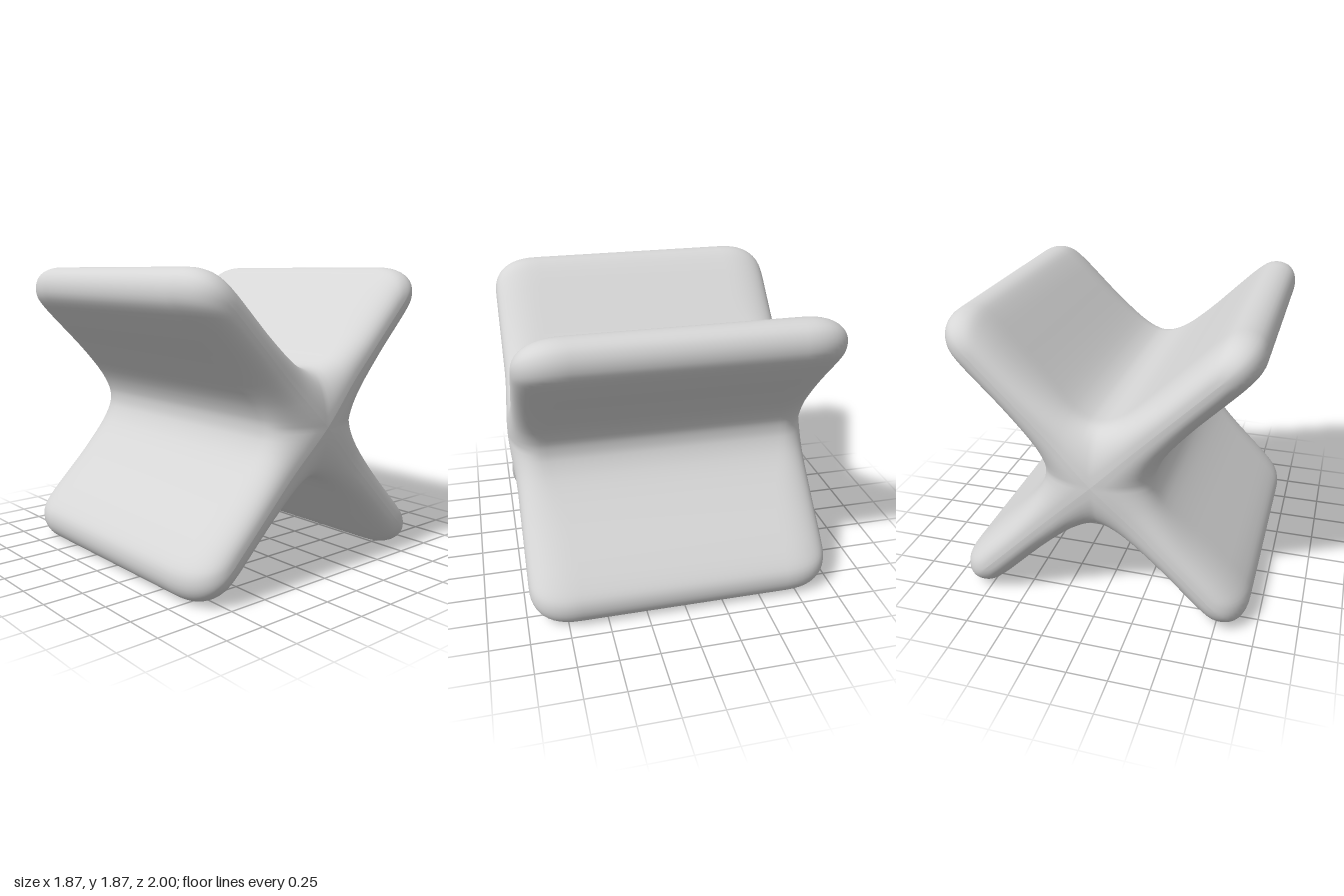
import * as THREE from 'three';

// Half outline of one arm: [distance from the hub, half thickness], from valley to tip
const ARM = [[0.24, 0.24], [0.29, 0.202], [0.4, 0.166], [0.6, 0.15], [0.9, 0.148],
  [1.1, 0.143], [1.19, 0.124], [1.25, 0.07], [1.273, 0]];
const HALF_DEPTH = 0.975, HUB_ROUND = 0.2, ARM_ROUND = 0.31, CAP_STEPS = 12;
const SQUARENESS = 2.5; // superellipse power of the rounded ends
const { lerp, smoothstep } = THREE.MathUtils;

// Closed smooth outline of four arms along the axes
function crossOutline() {
  const lower = ARM.map(([u, v]) => [u, -v]);
  const upper = ARM.slice(1, -1).reverse();
  const points = [];
  for (let i = 0; i < 4; i++) {
    const c = Math.round(Math.cos(i * Math.PI / 2)), s = Math.round(Math.sin(i * Math.PI / 2));
    for (const [u, v] of [...lower, ...upper]) points.push(new THREE.Vector3(u * c - v * s, u * s + v * c, 0));
  }
  return new THREE.CatmullRomCurve3(points, true).getPoints(points.length * 3).slice(0, -1);
}

// Pull an outline point toward the arm's spine: k = 1 is full size, k = 0 is the spine itself
function shrink(p, k) {
  const alongX = Math.abs(p.x) >= Math.abs(p.y);
  const u = Math.max(Math.abs(p.x), Math.abs(p.y)), v = Math.min(Math.abs(p.x), Math.abs(p.y));
  const root = v * (1 - smoothstep(u, 0.24, 0.6));
  const tip = 0.26 * Math.max(0, (u - 0.75) / 0.523);
  const u2 = u - (1 - k) * (root + tip), v2 = v * k;
  return {
    x: Math.sign(p.x) * (alongX ? u2 : v2),
    y: Math.sign(p.y) * (alongX ? v2 : u2),
    // The hub stands slightly proud; the arms taper over a longer depth
    bulge: 0.025 * (1 - smoothstep(Math.hypot(u2, v2), 0, 0.42)),
    round: lerp(HUB_ROUND, ARM_ROUND, smoothstep(u, 0.24, 0.8)),
  };
}

function crossGeometry() {
  const outline = crossOutline(), n = outline.length;
  // Rounded back end, straight middle, rounded front end
  const rings = [];
  for (const side of [-1, 1]) {
    for (let i = 0; i <= CAP_STEPS; i++) {
      const t = (side < 0 ? 1 - i / CAP_STEPS : i / CAP_STEPS) * Math.PI / 2;
      const power = 2 / SQUARENESS;
      rings.push({ side, k: Math.max(0, Math.cos(t)) ** power, s: Math.sin(t) ** power });
    }
  }
  const position = [], index = [];
  for (const { side, k, s } of rings) {
    for (const p of outline) {
      const q = shrink(p, k);
      position.push(q.x, q.y, side * (HALF_DEPTH - q.round + (q.round + q.bulge) * s));
    }
  }
  for (let r = 0; r < rings.length - 1; r++) {
    for (let i = 0; i < n; i++) {
      const a = r * n + i, b = r * n + (i + 1) % n;
      index.push(a, b, b + n, a, b + n, a + n);
    }
  }
  const geometry = new THREE.BufferGeometry();
  geometry.setAttribute('position', new THREE.Float32BufferAttribute(position, 3));
  geometry.setIndex(index);
  geometry.rotateZ(Math.PI / 4);
  geometry.computeVertexNormals();
  geometry.computeBoundingBox();
  geometry.translate(0, -geometry.boundingBox.min.y, 0);
  return geometry;
}

export function createModel() {
  const group = new THREE.Group();
  group.name = 'roundedCross';
  const grey = new THREE.MeshStandardMaterial({ color: 0xd6d6d6 });
  grey.name = 'light grey';
  const body = new THREE.Mesh(crossGeometry(), grey);
  body.name = 'crossBody';
  group.add(body);
  return group;
}
